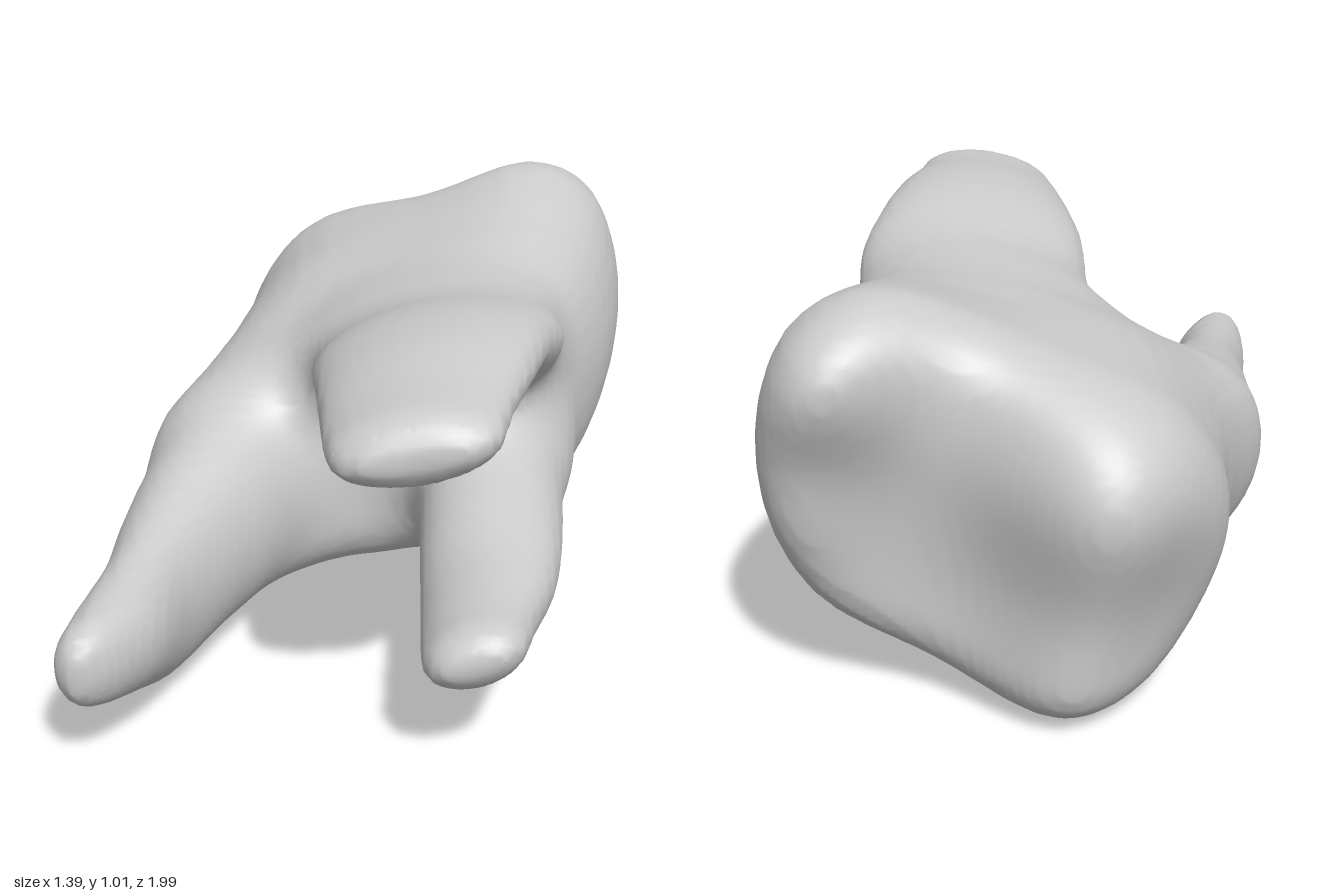
import * as THREE from 'three';

// Crown and neck outlines at z = -0.6, -0.3, 0 and 0.3: x, y pairs round the section
const BODY = [
  [.42, 1.015, .61, .92, .695, .6, .59, .27, .3, .09, 0, 0, -.23, .06, -.385, .33, -.385, .56, -.24, .775, .1, .91],
  [.4, .935, .56, .84, .64, .58, .55, .26, .3, .12, 0, .035, -.28, .06, -.435, .3, -.43, .56, -.22, .785, .1, .885],
  [.32, .86, .45, .78, .51, .56, .475, .29, .29, .165, 0, .085, -.38, .085, -.535, .26, -.535, .49, -.27, .68, .06, .83],
  [.3, .8, .39, .72, .43, .57, .39, .35, .26, .24, 0, .14, -.3, .13, -.48, .26, -.48, .43, -.22, .59, .08, .74],
];

// Roots: centre x, centre y, radius x, radius y every 0.2 from z = -0.2 to z = 1
const ROOTS = [
  { tilt: 0, end: .985, rows: [
    [-.24, .3, .16, .18], [-.35, .305, .2, .23], [-.41, .293, .2, .246], [-.48, .264, .16, .218],
    [-.535, .243, .118, .19], [-.583, .267, .107, .133], [-.642, .288, .062, .093]] },
  { tilt: .18, end: 1, rows: [
    [.15, .7, .17, .1], [.15, .72, .26, .13], [.165, .758, .305, .15], [.14, .818, .285, .128],
    [.125, .837, .25, .114], [.107, .835, .212, .093], [.103, .83, .185, .085]] },
  { tilt: .35, end: .985, rows: [
    [.25, .4, .1, .12], [.29, .37, .17, .17], [.3, .355, .18, .185], [.294, .322, .178, .162],
    [.28, .3, .165, .122], [.25, .305, .135, .095], [.235, .33, .115, .074]] },
];

// Cusps on the chewing surface: x, y, height, spread
const CUSPS = [[.54, .86, .14, .22], [-.09, .62, .28, .27], [-.05, .33, .09, .2], [0, .08, .17, .22], [.62, .5, .03, .15]];

const smin = (a, b, k) => {
  const h = Math.max(k - Math.abs(a - b), 0) / k;
  return Math.min(a, b) - h * h * k / 4;
};
const smax = (a, b, k) => -smin(-a, -b, k);

// Smooth curve through evenly spaced rows, held at both ends
function spline(rows, z, start, step) {
  const last = rows.length - 1;
  const t = THREE.MathUtils.clamp((z - start) / step, 0, last);
  const i = Math.min(Math.floor(t), last - 1), u = t - i;
  const p = rows[Math.max(i - 1, 0)], a = rows[i], b = rows[i + 1], q = rows[Math.min(i + 2, last)];
  return a.map((v, m) => v + u / 2 * (b[m] - p[m]
    + u * (2 * p[m] - 5 * v + 4 * b[m] - q[m] + u * (3 * (v - b[m]) + q[m] - p[m]))));
}

function outlineAt(z) {
  const flat = spline(BODY, z, -.6, .3);
  const pts = [];
  for (let i = 0; i < flat.length; i += 2) pts.push(new THREE.Vector3(flat[i], flat[i + 1], 0));
  return new THREE.CatmullRomCurve3(pts, true).getPoints(44);
}

// Signed distance to a closed outline
function outlineDistance(poly, x, y) {
  let d = Infinity, inside = false;
  for (let i = 0; i < poly.length - 1; i++) {
    const a = poly[i], b = poly[i + 1];
    const ex = b.x - a.x, ey = b.y - a.y, wx = x - a.x, wy = y - a.y;
    const t = Math.min(1, Math.max(0, (wx * ex + wy * ey) / (ex * ex + ey * ey || 1)));
    d = Math.min(d, (wx - ex * t) ** 2 + (wy - ey * t) ** 2);
    if ((a.y > y) !== (b.y > y) && x < a.x + ex * (y - a.y) / ey) inside = !inside;
  }
  return Math.sqrt(d) * (inside ? -1 : 1);
}

// Distance to a tilted oval root, rounded off at both ends
function rootDistance(root, [cx, cy, rx, ry], x, y, z) {
  const c = Math.cos(root.tilt), s = Math.sin(root.tilt);
  const dx = x - cx, dy = y - cy;
  const u = (dx * c + dy * s) / rx, v = (dy * c - dx * s) / ry;
  const k0 = Math.hypot(u, v), k1 = Math.hypot(u / rx, v / ry);
  const side = k1 < 1e-6 ? -Math.min(rx, ry) : k0 * (k0 - 1) / k1;
  return smax(smax(side, z - root.end, .1), -.2 - z, .1);
}

// Returns the field of one z slice
function sliceField(z) {
  const poly = outlineAt(z);
  const rows = ROOTS.map((root) => spline(root.rows, z, -.2, .2));
  return (x, y) => {
    let bite = -.7;
    for (const [cx, cy, h, w] of CUSPS) bite -= h * Math.exp(-((x - cx) ** 2 + (y - cy) ** 2) / (w * w));
    let d = smax(outlineDistance(poly, x, y), (bite - z) * .85, .14);
    d = smax(d, z - .1, .15);
    ROOTS.forEach((root, i) => { d = smin(d, rootDistance(root, rows[i], x, y, z), .17); });
    return d;
  };
}

// Wraps a smooth skin round the field, one vertex per crossed cell
function skin() {
  const h = .022, lo = [-.84, -.14, -1.14], n = [78, 60, 104];
  const step = [1, n[0], n[0] * n[1]];
  const field = new Float32Array(n[0] * n[1] * n[2]);
  for (let k = 0, q = 0; k < n[2]; k++) {
    const f = sliceField(lo[2] + k * h);
    for (let j = 0; j < n[1]; j++) for (let i = 0; i < n[0]; i++) field[q++] = f(lo[0] + i * h, lo[1] + j * h);
  }
  const cell = new Int32Array(field.length).fill(-1);
  const pos = [], index = [];
  for (let k = 0; k < n[2] - 1; k++) for (let j = 0; j < n[1] - 1; j++) for (let i = 0; i < n[0] - 1; i++) {
    const q = i + j * step[1] + k * step[2];
    const sum = [0, 0, 0];
    let count = 0;
    for (let c = 0; c < 8; c++) for (let a = 0; a < 3; a++) {
      if (c >> a & 1) continue;
      const o = [c & 1, c >> 1 & 1, c >> 2 & 1];
      const p = q + o[0] + o[1] * step[1] + o[2] * step[2];
      const f0 = field[p], f1 = field[p + step[a]];
      if ((f0 < 0) === (f1 < 0)) continue;
      o[a] = f0 / (f0 - f1);
      for (let m = 0; m < 3; m++) sum[m] += o[m];
      count++;
    }
    if (!count) continue;
    cell[q] = pos.length / 3;
    [i, j, k].forEach((g, m) => pos.push(lo[m] + (g + sum[m] / count) * h));
  }
  for (let q = step[2] + step[1] + 1; q < field.length - step[2]; q++) for (let a = 0; a < 3; a++) {
    const inside = field[q] < 0;
    if (inside === (field[q + step[a]] < 0)) continue;
    const b = step[(a + 1) % 3], c = step[(a + 2) % 3];
    const v = [cell[q], cell[q - b], cell[q - b - c], cell[q - c]];
    if (!inside) v.reverse();
    index.push(v[0], v[1], v[2], v[0], v[2], v[3]);
  }
  const geo = new THREE.BufferGeometry();
  geo.setAttribute('position', new THREE.Float32BufferAttribute(pos, 3));
  geo.setIndex(index);
  geo.computeVertexNormals();
  return geo;
}

export function createModel() {
  const group = new THREE.Group();
  group.name = 'molarTooth';
  const enamel = new THREE.MeshStandardMaterial({ color: 0xcccccc });
  enamel.name = 'grey enamel';

  // Crown with three roots in one skin
  const tooth = new THREE.Mesh(skin(), enamel);
  tooth.name = 'crownAndRoots';
  group.add(tooth);
  return group;
}
